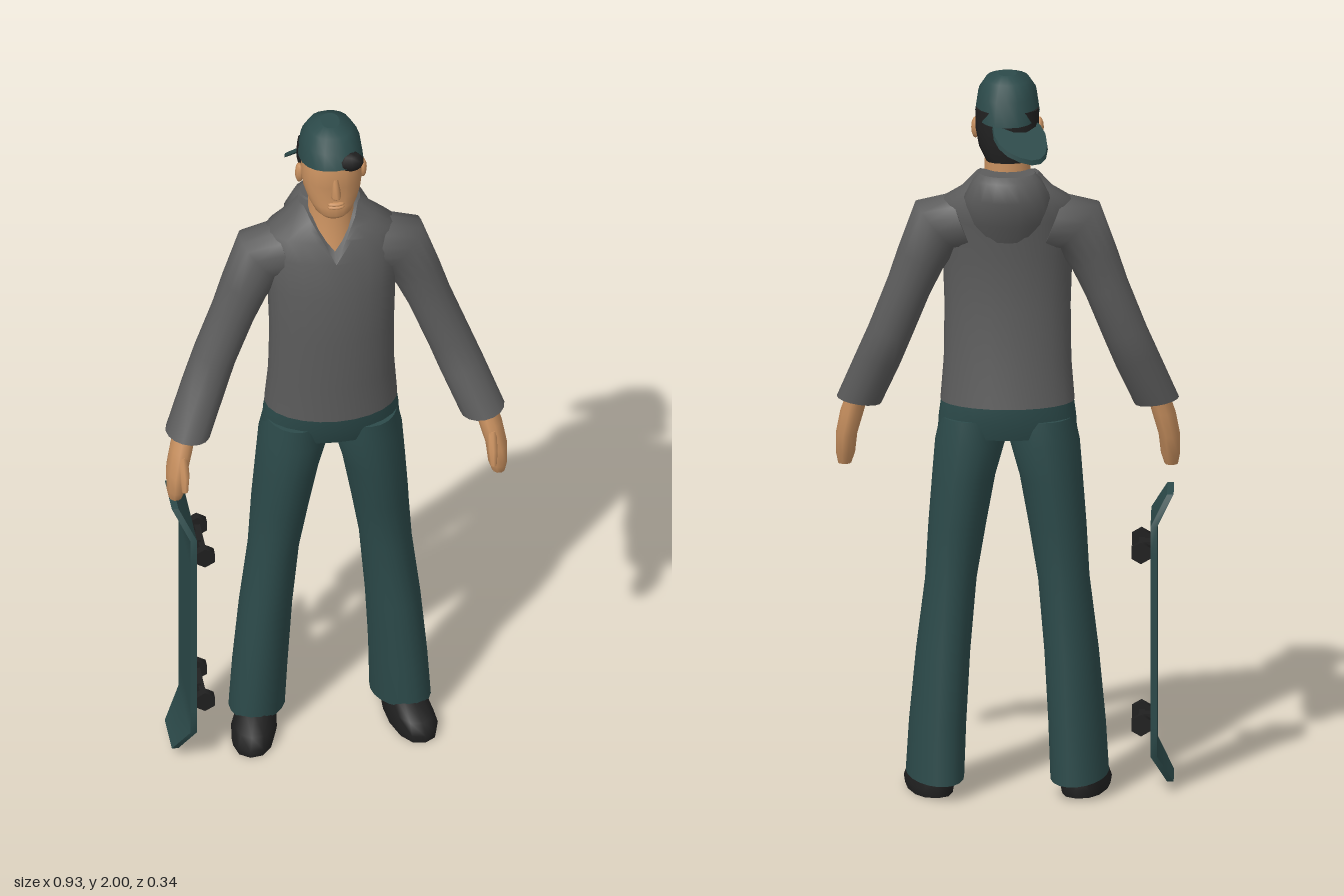
import * as THREE from 'three';

const paint = (name, color) => Object.assign(new THREE.MeshStandardMaterial({ color }), { name });

// Skin over elliptical rings listed from top to bottom.
// Ring: [x, y, z, halfWidth, halfDepth, sideTilt, frontTilt, yaw]
function loft(rings, sides = 20, power = 1) {
  const pos = [], idx = [];
  const pw = (v) => Math.sign(v) * Math.abs(v) ** power;
  const addRing = ([x, y, z, ru, rv, a = 0, b = 0, w = 0]) => {
    const start = pos.length / 3;
    for (let j = 0; j < sides; j++) {
      const t = (j / sides) * Math.PI * 2;
      const p = ru * pw(Math.cos(t)), q = rv * pw(Math.sin(t));
      pos.push(
        x + p * Math.cos(a) * Math.cos(w) + q * Math.cos(b) * Math.sin(w),
        y + p * Math.sin(a) + q * Math.sin(b),
        z - p * Math.cos(a) * Math.sin(w) + q * Math.cos(b) * Math.cos(w));
    }
    return start;
  };
  const starts = rings.map(addRing);
  for (let i = 0; i + 1 < rings.length; i++)
    for (let j = 0; j < sides; j++) {
      const k = (j + 1) % sides, a = starts[i], b = starts[i + 1];
      idx.push(a + j, a + k, b + j, a + k, b + k, b + j);
    }
  // end caps with their own corners so the rims stay crisp
  [[rings[0], true], [rings[rings.length - 1], false]].forEach(([r, top]) => {
    const s = addRing(r), c = pos.length / 3;
    pos.push(r[0], r[1], r[2]);
    for (let j = 0; j < sides; j++) {
      const k = (j + 1) % sides;
      idx.push(c, s + (top ? k : j), s + (top ? j : k));
    }
  });
  const g = new THREE.BufferGeometry();
  g.setAttribute('position', new THREE.Float32BufferAttribute(pos, 3));
  g.setIndex(idx);
  g.computeVertexNormals();
  return g;
}

// Move every vertex by a rule
function bend(g, rule) {
  const p = g.attributes.position, v = new THREE.Vector3();
  for (let i = 0; i < p.count; i++) {
    v.fromBufferAttribute(p, i);
    rule(v);
    p.setXYZ(i, v.x, v.y, v.z);
  }
  g.computeVertexNormals();
  return g;
}

// Flip rings to the other side of the body
const side = (s, rings) => rings.map(([x, y, z, u, v, a = 0, b = 0, w = 0]) => [x * s, y, z, u, v, a * s, b, w * s]);

export function createModel() {
  const teal = paint('teal cloth', 0x2c4a4a), grey = paint('grey fleece', 0x5c5c5c);
  const skin = paint('skin', 0xc8905f), black = paint('black', 0x202020);
  const model = new THREE.Group();
  model.name = 'skater';
  const add = (name, g, m, parent = model) => {
    const mesh = new THREE.Mesh(g, m);
    mesh.name = name;
    parent.add(mesh);
    return mesh;
  };

  // Pullover body with a V neckline
  add('pulloverBody', bend(loft([
    [0, 1.73, -0.035, 0.085, 0.07], [0, 1.685, -0.025, 0.125, 0.095], [0, 1.655, -0.02, 0.175, 0.1],
    [0, 1.6, -0.008, 0.185, 0.11], [0, 1.5, 0.012, 0.175, 0.113], [0, 1.35, 0.015, 0.17, 0.115],
    [0, 1.2, 0.005, 0.172, 0.12], [0, 1.09, -0.004, 0.181, 0.127],
  ], 24), (v) => {
    const limit = 1.6 + Math.abs(v.x) * 1.8;
    if (v.z > 0 && v.y > limit) {
      v.y = limit;
      v.z = Math.max(v.z, 0.105 - (limit - 1.6) * 0.6);
    }
  }), grey);
  add('hood', loft([
    [0, 1.735, -0.065, 0.075, 0.06], [0, 1.72, -0.072, 0.092, 0.073], [0, 1.67, -0.075, 0.118, 0.085],
    [0, 1.6, -0.06, 0.11, 0.075], [0, 1.53, -0.05, 0.08, 0.05],
  ]), grey);

  // Trousers
  add('hips', loft([
    [0, 1.1, -0.005, 0.178, 0.124], [0, 1.05, -0.008, 0.185, 0.122], [0, 1.0, -0.01, 0.188, 0.105],
  ], 24), teal);

  for (const s of [1, -1]) {
    const label = s > 0 ? 'left' : 'right';
    add(label + 'TrouserLeg', loft(side(s, [
      [0.095, 1.05, -0.006, 0.085, 0.112], [0.1, 0.98, -0.01, 0.095, 0.115], [0.118, 0.88, -0.012, 0.085, 0.112],
      [0.135, 0.75, -0.02, 0.078, 0.1], [0.152, 0.6, -0.027, 0.07, 0.088, 0, 0, 0.1],
      [0.173, 0.4, -0.033, 0.072, 0.098, 0, 0, 0.2], [0.188, 0.2, -0.037, 0.075, 0.107, 0, 0, 0.25],
      [0.195, 0.058, -0.045, 0.076, 0.112, 0, 0.12, 0.28],
    ])), teal);
    add(label + 'Shoe', loft(side(s, [
      [0.2, 0.088, -0.02, 0.045, 0.07, 0, 0, 0.22], [0.208, 0.055, 0.012, 0.056, 0.112, 0, 0, 0.22],
      [0.212, 0.022, 0.018, 0.062, 0.124, 0, 0, 0.22], [0.212, 0, 0.018, 0.058, 0.12, 0, 0, 0.22],
    ]), 12, 0.85), black);

    // Sleeve and hand
    add(label + 'Sleeve', loft(side(s, [
      [0.12, 1.585, -0.015, 0.085, 0.085, 1.2], [0.19, 1.575, -0.012, 0.088, 0.076, 0.85],
      [0.235, 1.48, -0.006, 0.067, 0.064, 0.45], [0.267, 1.4, 0, 0.061, 0.06, 0.4],
      [0.318, 1.27, 0.01, 0.06, 0.06, 0.38], [0.35, 1.19, 0.032, 0.061, 0.06, 0.3],
      [0.401, 1.066, 0.076, 0.061, 0.066, 0.15],
    ]), 16), grey);
    add(label + 'Hand', loft(side(s, [
      [0.405, 1.085, 0.075, 0.03, 0.036], [0.42, 1.03, 0.09, 0.032, 0.044], [0.435, 0.965, 0.103, 0.029, 0.052],
      [0.438, 0.91, 0.112, 0.026, 0.038], [0.44, 0.88, 0.112, 0.018, 0.022],
    ]), 10), skin);
    add(label + 'Thumb', loft(side(s, [
      [0.422, 1.02, 0.12, 0.014, 0.018], [0.42, 0.97, 0.145, 0.014, 0.018], [0.42, 0.925, 0.155, 0.009, 0.01],
    ]), 8), skin);

    const ear = add(label + 'Ear', new THREE.SphereGeometry(1, 8, 6), skin);
    ear.scale.set(0.012, 0.03, 0.018);
    ear.position.set(s * 0.086, 1.845, 0);
  }

  // Neck and head
  add('neck', loft([
    [0, 1.82, -0.005, 0.06, 0.055], [0, 1.73, -0.005, 0.062, 0.058], [0, 1.66, 0.002, 0.07, 0.066],
    [0, 1.57, 0.02, 0.07, 0.072],
  ]), skin);
  add('head', loft([
    [0, 1.945, 0.005, 0.065, 0.08], [0, 1.9, 0.008, 0.08, 0.092], [0, 1.85, 0.01, 0.082, 0.087],
    [0, 1.815, 0.015, 0.077, 0.08], [0, 1.785, 0.022, 0.067, 0.077], [0, 1.76, 0.04, 0.052, 0.06],
    [0, 1.745, 0.05, 0.035, 0.038],
  ], 20, 0.9), skin);
  add('nose', loft([
    [0, 1.88, 0.092, 0.008, 0.008], [0, 1.828, 0.097, 0.014, 0.022], [0, 1.818, 0.094, 0.012, 0.014],
  ], 8), skin);
  for (const y of [1.798, 1.788]) {
    const lip = add('lip', new THREE.SphereGeometry(1, 10, 6), skin);
    lip.scale.set(0.024, 0.006, 0.01);
    lip.position.set(0, y, 0.095);
  }
  add('hair', loft([
    [0, 1.91, -0.045, 0.086, 0.07], [0, 1.86, -0.052, 0.086, 0.064], [0, 1.81, -0.065, 0.076, 0.05],
    [0, 1.77, -0.075, 0.055, 0.033],
  ], 14), black);

  // Cap worn backwards, with hair showing through its opening
  add('cap', loft([
    [0, 1.999, -0.012, 0.025, 0.035], [0, 1.985, -0.012, 0.058, 0.072, 0, 0.05],
    [0, 1.95, -0.01, 0.079, 0.102, 0, 0.1], [0, 1.895, -0.007, 0.087, 0.118, 0, 0.19],
  ], 20, 0.85), teal);
  add('capBill', loft([
    [-0.035, 1.853, -0.115, 0.078, 0.075, 0.35, 0.7], [-0.035, 1.841, -0.115, 0.08, 0.077, 0.35, 0.7],
  ], 16, 0.85), teal);
  const fringe = add('fringe', new THREE.SphereGeometry(1, 8, 5), black);
  fringe.scale.set(0.037, 0.027, 0.03);
  fringe.position.set(0.042, 1.928, 0.083);

  // Skateboard standing on end at the right side
  const board = new THREE.Group();
  board.name = 'skateboard';
  board.position.set(-0.395, 0.43, 0.037);
  model.add(board);
  add('deck', bend(new THREE.BoxGeometry(0.018, 0.8, 0.22, 1, 10, 2), (v) => {
    const t = Math.max(0, Math.abs(v.y) - 0.32);
    v.x -= t * 0.55;
    v.z *= 1 - t * 5;
  }), teal, board);
  for (const y of [0.24, -0.24]) {
    add('truck', new THREE.BoxGeometry(0.03, 0.03, 0.04), black, board).position.set(0.018, y, 0);
    add('axle', new THREE.BoxGeometry(0.016, 0.016, 0.15), black, board).position.set(0.034, y, 0);
    for (const z of [0.073, -0.073]) {
      const wheel = add('wheel', new THREE.CylinderGeometry(0.03, 0.03, 0.024, 6), black, board);
      wheel.rotation.x = Math.PI / 2;
      wheel.position.set(0.035, y, z);
    }
  }
  return model;
}
